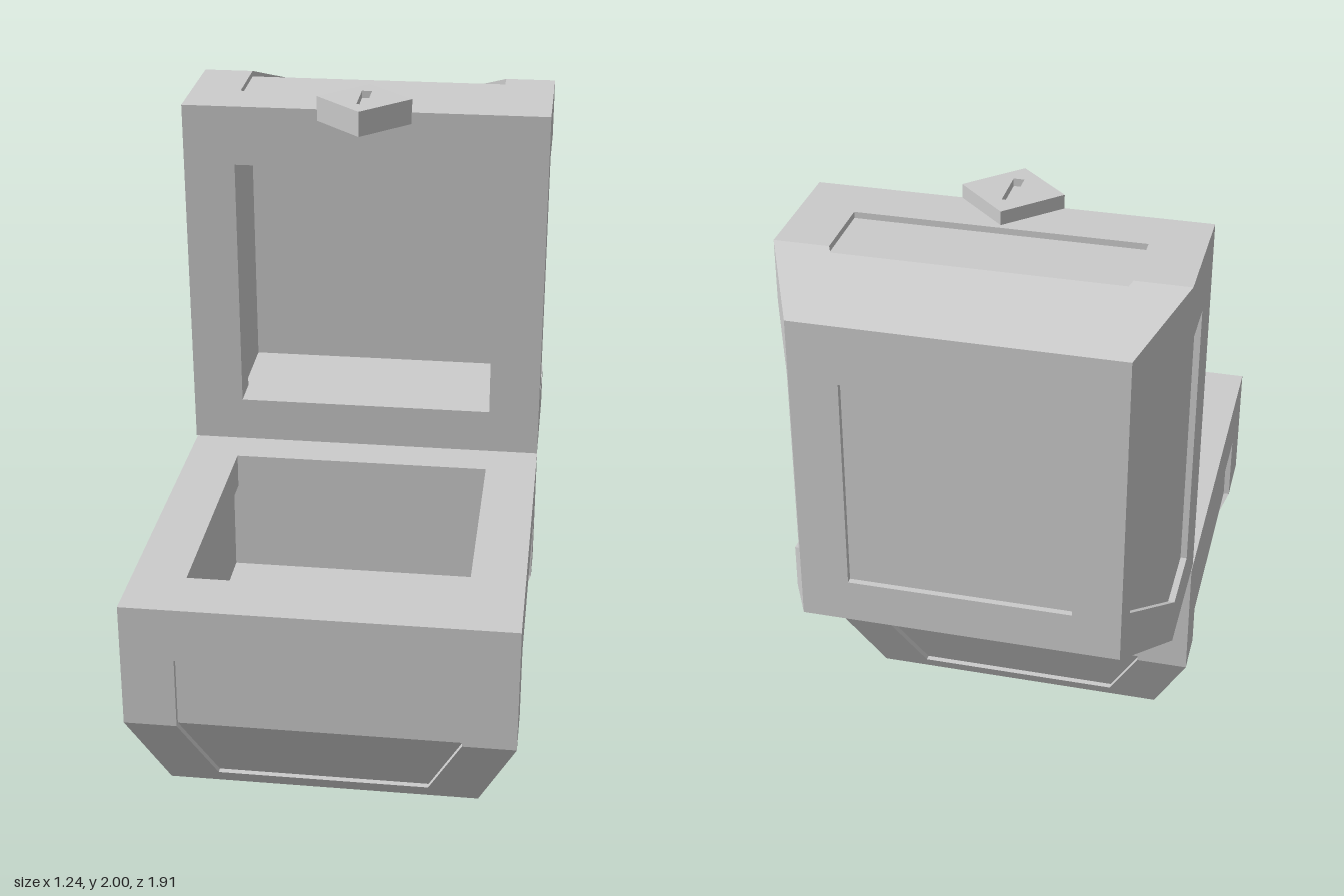
import * as THREE from 'three';

const DEPTH = 0.69, SHIFT = -0.025, INSET = 0.02;
const material = new THREE.MeshStandardMaterial({ color: 0xcccccc, flatShading: true });

// One hollow half of the case: opening at y = 0, body below, hinge towards -z.
function halfShell() {
  const pos = [];
  const quad = (a, b, c, d) => pos.push(...a, ...b, ...c, ...a, ...c, ...d);

  // Square loops joined into bands, counter-clockwise seen from above
  const loop = (hx, hz, y, dz = 0) =>
    [[-hx, y, hz + dz], [hx, y, hz + dz], [hx, y, -hz + dz], [-hx, y, -hz + dz]];
  const band = (a, b) => {
    for (let i = 0; i < 4; i++) quad(a[i], a[(i + 1) % 4], b[(i + 1) % 4], b[i]);
  };
  const chain = (loops) => {
    for (let i = 1; i < loops.length; i++) band(loops[i - 1], loops[i]);
  };

  // Floor underside with a recessed panel
  const under = [
    loop(0.35, 0.35, -DEPTH + INSET, SHIFT),
    loop(0.35, 0.35, -DEPTH, SHIFT),
    loop(0.5, 0.515, -DEPTH),
  ];
  quad(...[...under[0]].reverse());
  chain(under);

  // Rim and cavity, slightly wider below the lip
  const inner = [
    loop(0.62, 0.625, 0),
    loop(0.445, 0.445, 0, SHIFT),
    loop(0.445, 0.445, -0.12, SHIFT),
    loop(0.465, 0.465, -0.12, SHIFT),
    loop(0.465, 0.465, -0.45, SHIFT),
  ];
  chain(inner);
  quad(...inner[4]);

  // Four sides, each a bent wall with a recessed bent panel
  const rows = [0, -0.18, -0.42, -0.65, -DEPTH];
  const panel = [0, 0.45, 0.45, 0.34, 0];
  const taper = (y) => Math.max(0, (-y - 0.42) / (DEPTH - 0.42));
  const halfX = rows.map((y) => 0.62 - 0.12 * taper(y));
  const halfZ = rows.map((y) => 0.625 - 0.11 * taper(y));
  for (let k = 0; k < 4; k++) {
    const across = k % 2 ? halfZ : halfX;
    const out = k % 2 ? halfX : halfZ;
    const shift = [0, -SHIFT, 0, SHIFT][k];
    const place = (u, r, inset = 0) => {
      const d = out[r] - inset, y = rows[r];
      return [[u, y, d], [d, y, -u], [-u, y, -d], [-d, y, u]][k];
    };
    const edge = (s, r) => place(s * across[r], r);
    const lip = (s, r) => place(s * panel[r] + shift, r);
    const deep = (s, r) => place(s * panel[r] + shift, r, INSET);
    for (const r of [0, 3]) quad(edge(-1, r + 1), edge(1, r + 1), edge(1, r), edge(-1, r));
    for (const r of [1, 2]) {
      quad(edge(-1, r + 1), lip(-1, r + 1), lip(-1, r), edge(-1, r));
      quad(lip(1, r + 1), edge(1, r + 1), edge(1, r), lip(1, r));
      quad(deep(-1, r + 1), deep(1, r + 1), deep(1, r), deep(-1, r));
      quad(lip(-1, r + 1), deep(-1, r + 1), deep(-1, r), lip(-1, r));
      quad(deep(1, r + 1), lip(1, r + 1), lip(1, r), deep(1, r));
    }
    quad(deep(-1, 1), deep(1, 1), lip(1, 1), lip(-1, 1));
    quad(lip(-1, 3), lip(1, 3), deep(1, 3), deep(-1, 3));
  }

  const geometry = new THREE.BufferGeometry();
  geometry.setAttribute('position', new THREE.Float32BufferAttribute(pos, 3));
  geometry.computeVertexNormals();
  return geometry;
}

// Diamond-shaped latch with a slot sunk into its top
function makeLatch() {
  const latch = new THREE.Group();
  latch.name = 'latch';
  const diamond = (slot) => {
    const shape = new THREE.Shape(
      [[0.16, 0], [0, 0.16], [-0.16, 0], [0, -0.16]].map(([x, y]) => new THREE.Vector2(x, y)));
    if (slot) {
      shape.holes.push(new THREE.Path(
        [[-0.017, -0.077], [-0.017, 0.077], [0.017, 0.077], [0.017, -0.077]]
          .map(([x, y]) => new THREE.Vector2(x, y))));
    }
    return shape;
  };
  [['latchBody', false, 0, 0.06], ['latchSlotPlate', true, 0.06, 0.025]].forEach(([name, slot, z, depth]) => {
    const geometry = new THREE.ExtrudeGeometry(diamond(slot), { depth, bevelEnabled: false });
    const mesh = new THREE.Mesh(geometry, material);
    mesh.name = name;
    mesh.position.z = z;
    latch.add(mesh);
  });
  latch.rotation.x = -Math.PI / 2 + 0.03;
  latch.position.set(0, 1.91, -0.228);
  return latch;
}

export function createModel() {
  const model = new THREE.Group();
  model.name = 'openCase';
  const geometry = halfShell();

  const base = new THREE.Mesh(geometry, material);
  base.name = 'base';
  base.position.set(0, DEPTH, 0.33);

  // Lid: the same shell swung open on the rear edge
  const lid = new THREE.Mesh(geometry, material);
  lid.name = 'lid';
  lid.rotation.set(Math.PI / 2 + 0.036, Math.PI, 0);
  lid.position.set(0, 1.325, -0.2475);

  model.add(base, lid, makeLatch());
  return model;
}
